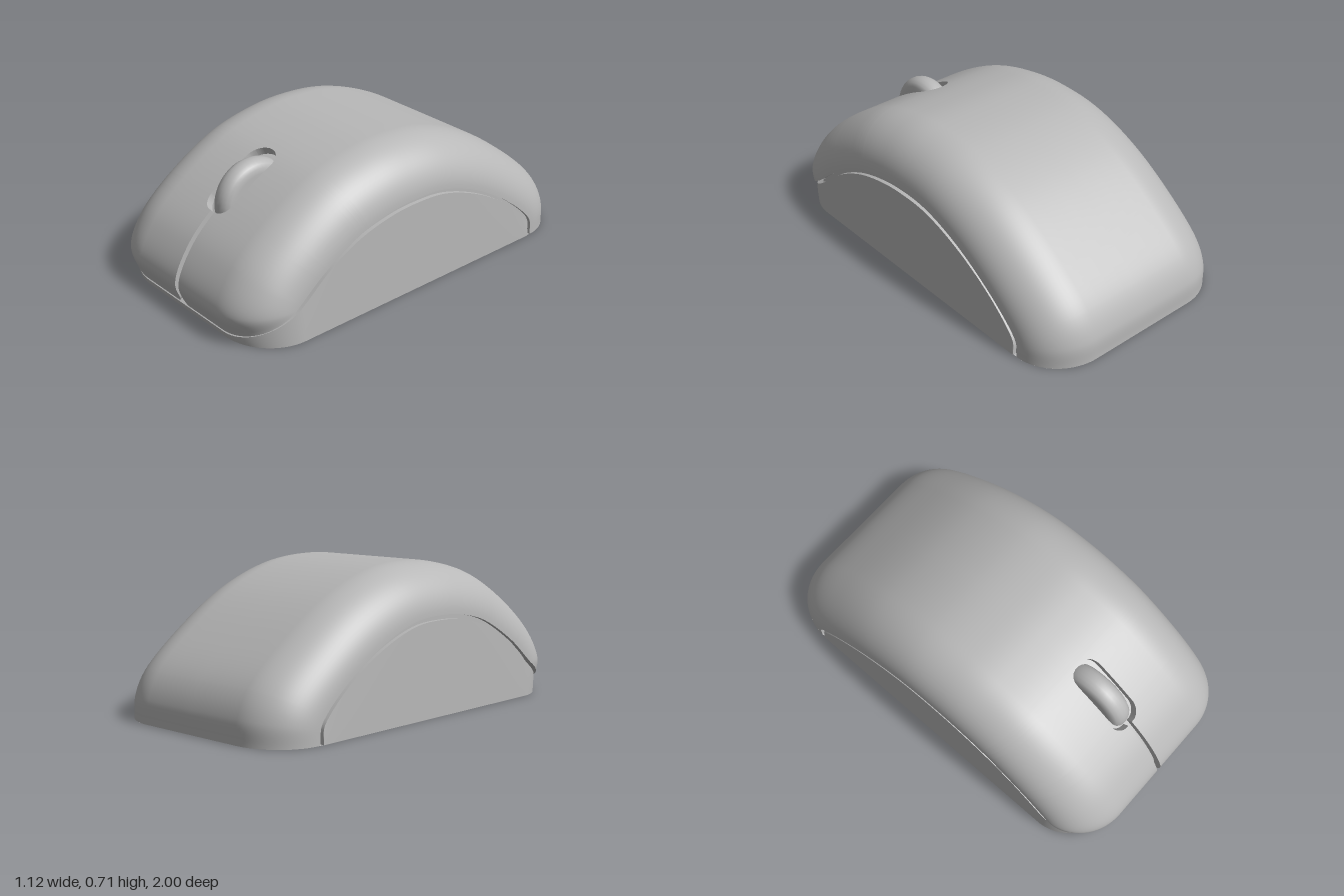
import * as THREE from 'three';

const curve = (pts) => new THREE.CatmullRomCurve3(pts.map(([z, y]) => new THREE.Vector3(0, y, z)));

// Side profile of the shell along its middle, front lip to back foot
const outer = curve([[0.967, 0.04], [1, 0.15], [0.916, 0.32], [0.755, 0.47], [0.48, 0.633], [0.246, 0.697],
  [0.06, 0.713], [-0.18, 0.69], [-0.45, 0.592], [-0.72, 0.42], [-0.93, 0.236], [-0.993, 0.11], [-1, 0]]);
// Matching lower edge of the shell on the flanks
const inner = curve([[0.765, 0.165], [0.755, 0.173], [0.73, 0.193], [0.6, 0.295], [0.37, 0.42], [0.2, 0.463],
  [0.06, 0.475], [-0.13, 0.462], [-0.35, 0.385], [-0.58, 0.245], [-0.73, 0.115], [-0.757, 0.07], [-0.76, 0]]);
// Upper edge of the base
const baseEdge = curve([[0.965, 0.03], [0.765, 0.145], [0.7, 0.192], [0.55, 0.31], [0.38, 0.395], [0.2, 0.44],
  [0.06, 0.452], [-0.13, 0.44], [-0.36, 0.36], [-0.57, 0.235], [-0.7, 0.12], [-0.735, 0.07], [-0.74, 0]]);

const FLAT = 0.295, FILLET = 0.26;
const SLOT_BACK = 0.44, SLOT_FRONT = 0.785, SLOT_W = 0.082, SLIT_W = 0.013, FLARE_T = 0.025;

// Surface through rows of points
function grid(rows) {
  const n = rows[0].length, pos = [], idx = [];
  rows.forEach((row) => row.forEach((p) => pos.push(...p)));
  for (let i = 0; i < rows.length - 1; i++) {
    for (let j = 0; j < n - 1; j++) {
      const a = i * n + j, b = a + n;
      idx.push(a, a + 1, b, b, a + 1, b + 1);
    }
  }
  const g = new THREE.BufferGeometry();
  g.setAttribute('position', new THREE.Float32BufferAttribute(pos, 3));
  g.setIndex(idx);
  g.computeVertexNormals();
  return g;
}

// Profile parameter at a given z on the front slope
function tAt(z) {
  let lo = 1 / 12, hi = 0.6;
  for (let i = 0; i < 40; i++) {
    const m = (lo + hi) / 2;
    if (outer.getPoint(m).z > z) lo = m; else hi = m;
  }
  return lo;
}

// Half width of the gap between the two shell halves
function gap(t) {
  const z = outer.getPoint(t).z;
  if (t < FLARE_T) return SLIT_W + 0.03 * (1 - Math.sqrt(1 - (1 - t / FLARE_T) ** 2));
  if (t < 1 / 12 || z > SLOT_FRONT) return SLIT_W;
  if (z <= SLOT_BACK) return 0;
  const b = Math.min(1, (z - SLOT_BACK) / SLOT_W), f = Math.min(1, (SLOT_FRONT - z) / 0.06);
  const back = SLOT_W * Math.sqrt(1 - (1 - b) ** 2);
  const front = SLOT_W - 0.06 * (1 - Math.sqrt(1 - (1 - f) ** 2));
  return Math.min(back, front);
}

// Point sunk below the shell's middle profile
function sunk(t, x, depth) {
  const o = outer.getPoint(t), d = inner.getPoint(t).sub(o).normalize();
  o.addScaledVector(d, depth);
  return [x, o.y, o.z];
}

// Closed base: a wall round the outline and a lid
function baseGeometries(inset, lift, dz) {
  const right = [];
  for (let i = 0; i <= 90; i++) {
    const p = baseEdge.getPoint((i / 90) ** 1.8);
    const k = THREE.MathUtils.clamp((p.z - 0.72) / 0.245, 0, 1);
    right.push([FLAT + FILLET * Math.sqrt(1 - k * k) - inset, p.y + lift, p.z + dz]);
  }
  const left = right.map(([x, y, z]) => [-x, y, z]);
  const path = [...left.slice().reverse(), ...right];
  const wall = path.map(([x, y, z]) => [
    [x, y, z],
    [x + Math.sign(x) * 0.003, y * 0.5, z - (z > 0.72 ? 0.004 : 0)],
    [x + Math.sign(x) * 0.004, 0, z - (z > 0.72 ? 0.01 : 0)],
  ]);
  return [grid(wall), grid(right.map((p, i) => [p, left[i]]))];
}

export function createModel() {
  const model = new THREE.Group();
  const grey = new THREE.MeshStandardMaterial({ color: 0xb8b8b8, side: THREE.DoubleSide });
  grey.name = 'grey plastic';
  const add = (name, geometry) => {
    const mesh = new THREE.Mesh(geometry, grey);
    mesh.name = name;
    model.add(mesh);
    return mesh;
  };

  // Stations along the profile, denser at the slot ends and the lip
  const ts = [];
  for (let i = 0; i <= 120; i++) ts.push(i / 120);
  for (let i = 0; i <= 12; i++) {
    const c = 1 - Math.cos((i / 12) * Math.PI / 2);
    ts.push(tAt(SLOT_BACK + SLOT_W * c), tAt(SLOT_FRONT - 0.06 * c), FLARE_T * c);
  }
  ts.push(tAt(SLOT_FRONT + 0.0005));
  ts.sort((a, b) => a - b);
  const stations = ts.filter((t, i) => i === 0 || t - ts[i - 1] > 1e-5);
  const tSlotEnd = tAt(SLOT_BACK - 0.02);

  // Two halves of the shell
  for (const [side, s] of [['left', 1], ['right', -1]]) {
    const rows = stations.map((t) => {
      const o = outer.getPoint(t), n = inner.getPoint(t), e = gap(t), row = [];
      for (let j = 0; j < 4; j++) row.push([s * (e + (FLAT - e) * j / 4), o.y, o.z]);
      for (let j = 0; j <= 18; j++) {
        const a = (j / 18) * Math.PI / 2;
        const p = o.clone().lerp(n, 1 - Math.cos(a));
        row.push([s * (FLAT + FILLET * Math.sin(a)), p.y, p.z]);
      }
      return row;
    });
    add(side + 'Shell', grid(rows));
    // Edge walls: wheel slot and slit, flank seam, front lip
    add(side + 'SlotWall', grid(stations.filter((t) => t <= tSlotEnd)
      .map((t) => [sunk(t, s * gap(t), 0), sunk(t, s * gap(t), 0.045)])));
    add(side + 'FlankLip', grid(rows.map((r) => {
      const [x, y, z] = r[r.length - 1];
      return [[x, y, z], [x - s * 0.03, y, z]];
    })));
    add(side + 'FrontLip', grid([rows[0], rows[0].map(([x, y, z]) => [x * 0.95, y + 0.02, z - 0.035])]));
  }

  // Floor below the slot and the slit
  add('slotFloor', grid(stations.filter((t) => t <= tSlotEnd)
    .map((t) => [sunk(t, -0.1, 0.04), sunk(t, 0.1, 0.04)])));

  // Base, and the recessed core that closes the seam
  for (const g of baseGeometries(0, 0, 0)) add('base', g);
  for (const g of baseGeometries(0.02, 0.05, -0.03)) add('seamCore', g);

  // Flat underside
  const foot = new THREE.Shape();
  const arc = (cx, cy, ry, a) => foot.absellipse(cx, cy, FILLET, ry, a, a + Math.PI / 2, false, 0);
  arc(FLAT, 0.76, 0.24, 0);
  arc(-FLAT, 0.76, 0.24, Math.PI / 2);
  arc(-FLAT, -0.72, 0.235, Math.PI);
  arc(FLAT, -0.72, 0.235, Math.PI * 1.5);
  add('underside', new THREE.ShapeGeometry(foot, 16).rotateX(-Math.PI / 2).scale(1, 1, 1)).rotation.x = Math.PI * 2;
  model.getObjectByName('underside').geometry.index.array.reverse();

  // Scroll wheel with rounded shoulders
  const half = [[0.001, 0.058], [0.14, 0.058], [0.165, 0.055], [0.183, 0.045], [0.194, 0.028], [0.199, 0.01]];
  const tread = [...half.map(([r, x]) => [r, -x]), ...half.slice().reverse()];
  const wheel = add('scrollWheel', new THREE.LatheGeometry(tread.map(([r, x]) => new THREE.Vector2(r, x)), 48));
  wheel.rotation.z = Math.PI / 2;
  wheel.position.set(0, 0.44, 0.56);

  return model;
}
